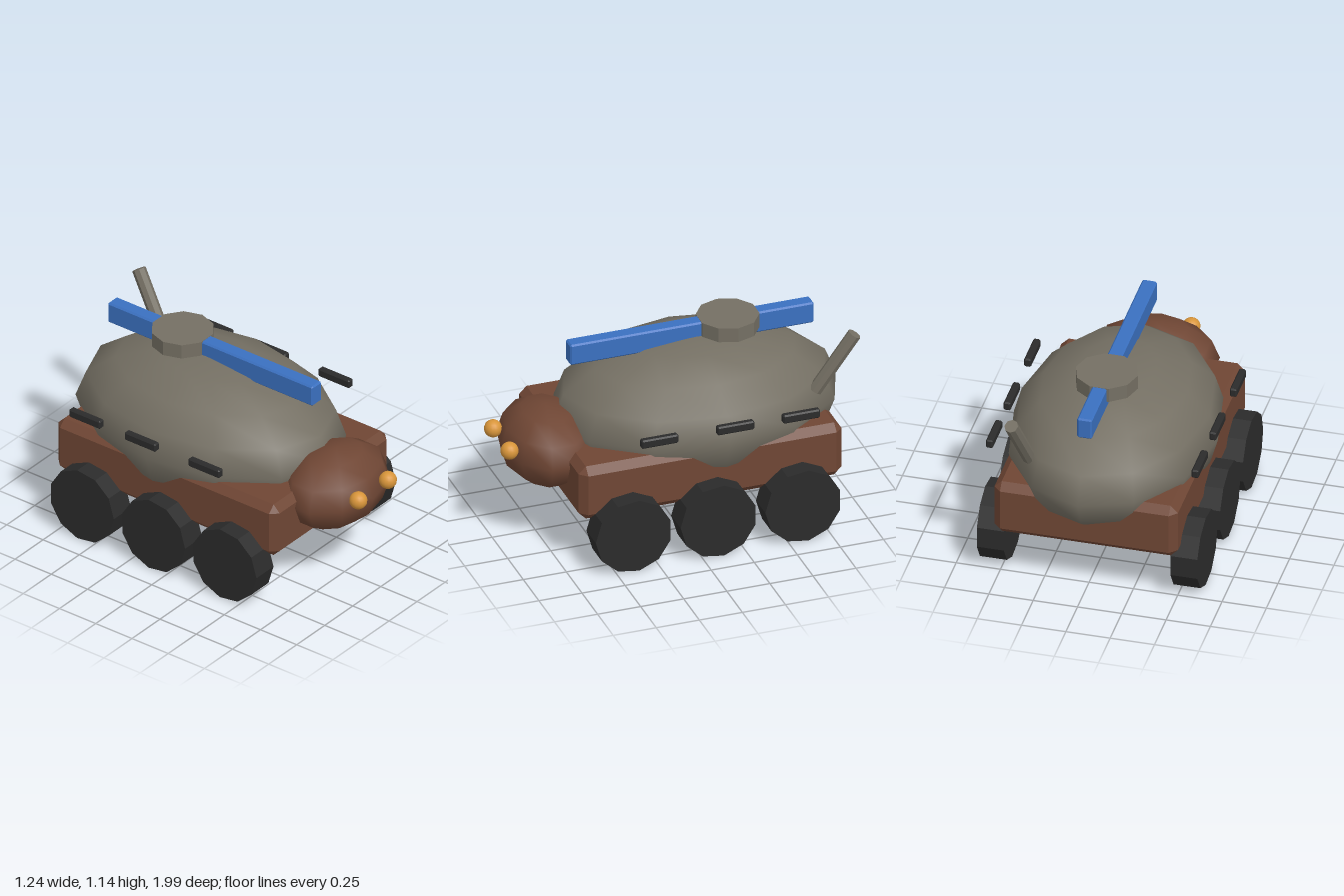
import * as THREE from 'three';
import { ConvexGeometry } from 'three/addons/geometries/ConvexGeometry.js';

function material(name, color, flatShading = false) {
  const m = new THREE.MeshStandardMaterial({ color, flatShading });
  m.name = name;
  return m;
}

// Box with every edge cut by a flat chamfer
function chamferBox(w, h, d, c) {
  const points = [];
  for (const sx of [-1, 1]) for (const sy of [-1, 1]) for (const sz of [-1, 1]) {
    const x = w / 2, y = h / 2, z = d / 2;
    points.push(
      new THREE.Vector3(sx * x, sy * (y - c), sz * (z - c)),
      new THREE.Vector3(sx * (x - c), sy * y, sz * (z - c)),
      new THREE.Vector3(sx * (x - c), sy * (y - c), sz * z));
  }
  return new ConvexGeometry(points);
}

export function createModel() {
  const model = new THREE.Group();
  model.name = 'beetleRover';

  const brown = material('brown', 0x6f4634);
  const stone = material('stoneGrey', 0x746f63);
  const black = material('black', 0x2b2b2b);
  const blue = material('blue', 0x3a70c0);
  const amber = material('amber', 0xd8953a);

  function add(name, geometry, mat, x, y, z) {
    const mesh = new THREE.Mesh(geometry, mat);
    mesh.name = name;
    mesh.position.set(x, y, z);
    model.add(mesh);
    return mesh;
  }

  // Faceted cylinders keep hard side edges
  function faceted(geometry) {
    const g = geometry.toNonIndexed();
    g.computeVertexNormals();
    return g;
  }

  // Chassis, domed shell and head
  add('chassis', chamferBox(1.036, 0.326, 1.525, 0.042), brown, 0, 0.462, -0.092);
  add('shell', new THREE.SphereGeometry(1, 12, 8).scale(0.575, 0.403, 0.822),
    stone, 0, 0.657, -0.172);
  add('head', new THREE.SphereGeometry(1, 10, 6).rotateY(Math.PI / 2).scale(0.357, 0.228, 0.26),
    brown, 0, 0.548, 0.69);

  // Roof bar and round hatch
  add('roofBar', chamferBox(0.084, 0.126, 1.415, 0.009), blue, 0, 1.074, -0.147);
  add('hatch', faceted(new THREE.CylinderGeometry(0.175, 0.175, 0.085, 10).rotateY(Math.PI / 2)),
    stone, 0, 1.0965, -0.367);

  // Leaning exhaust pipe at the rear left
  const base = new THREE.Vector3(0.336, 0.765, -0.752);
  const tip = new THREE.Vector3(0.383, 1.1, -0.965);
  const along = tip.clone().sub(base);
  const pipe = add('exhaustPipe',
    faceted(new THREE.CylinderGeometry(0.039, 0.039, along.length(), 8)), stone, 0, 0, 0);
  pipe.position.copy(base).add(tip).multiplyScalar(0.5);
  pipe.quaternion.setFromUnitVectors(new THREE.Vector3(0, 1, 0), along.normalize());

  // Mirrored eyes, wheels and side vents
  const eye = new THREE.SphereGeometry(0.05, 16, 12);
  const wheel = faceted(new THREE.CylinderGeometry(0.221, 0.221, 0.152, 11).rotateZ(Math.PI / 2));
  const vent = chamferBox(0.04, 0.052, 0.215, 0.008);
  for (const [side, s] of [['left', 1], ['right', -1]]) {
    add(side + 'Eye', eye, amber, s * 0.132, 0.603, 0.947);
    [0.402, -0.09, -0.582].forEach((z, i) =>
      add(`${side}Wheel${i + 1}`, wheel, black, s * 0.546, 0.219, z));
    [0.24, -0.2, -0.582].forEach((z, i) =>
      add(`${side}Vent${i + 1}`, vent, black, s * 0.58, 0.767, z));
  }

  return model;
}
